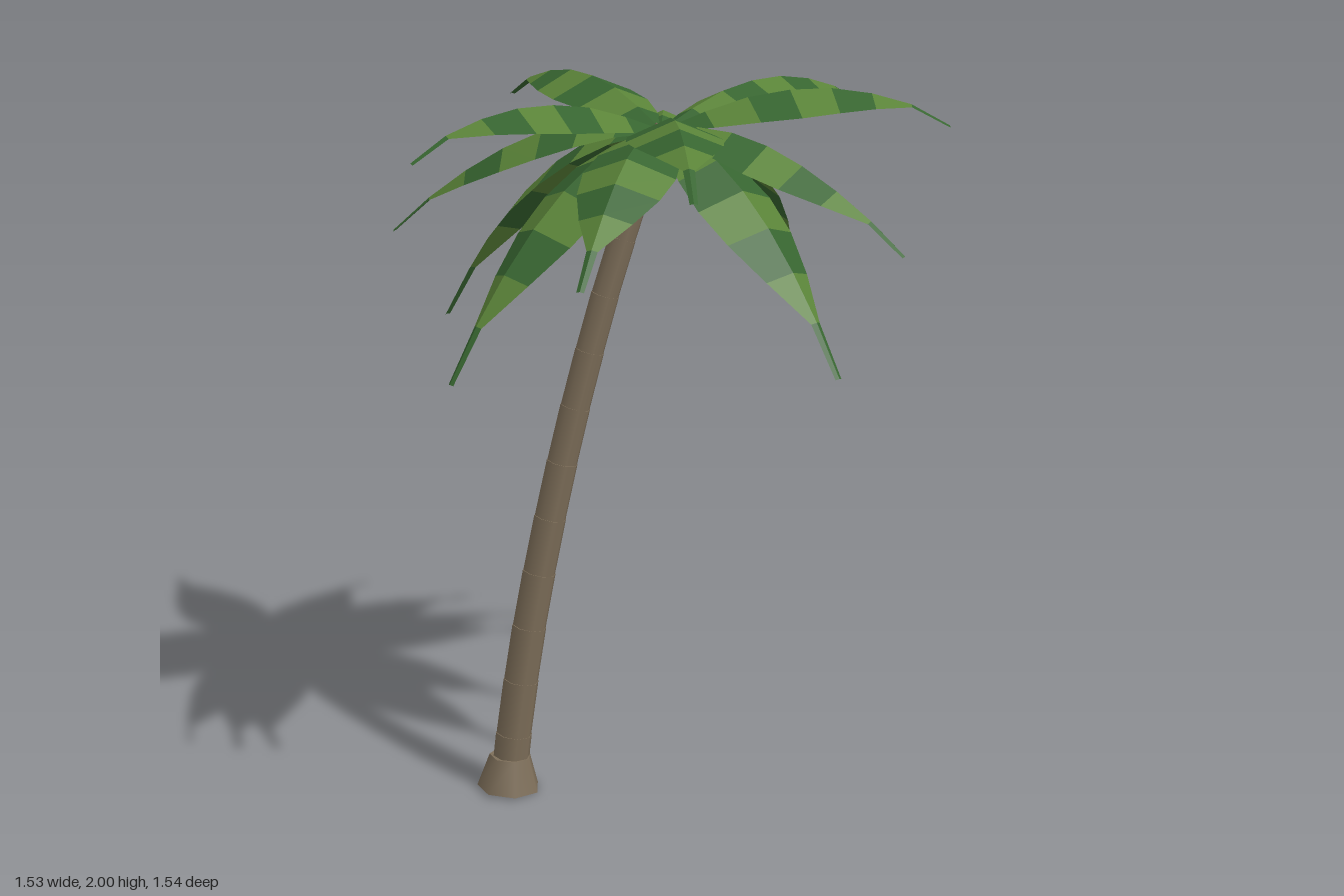
import * as THREE from 'three';

const paint = (name, color, options = {}) => {
  const m = new THREE.MeshStandardMaterial({ color, ...options });
  m.name = name;
  return m;
};

const CROWN = new THREE.Vector3(-0.05, 1.902, -0.025);
const STEPS = 7;
const HALF_WIDTHS = [0.012, 0.079, 0.122, 0.136, 0.12, 0.077, 0.016, 0.011];

// Midrib heights relative to the crown, from root to tip
const TIERS = {
  upper: [0, 0.045, 0.08, 0.096, 0.096, 0.077, 0.042, -0.022],
  middle: [0, 0.018, 0.01, -0.02, -0.07, -0.135, -0.213, -0.307],
  lower: [0, -0.01, -0.053, -0.123, -0.213, -0.323, -0.448, -0.592],
};

// Tier, tip x, tip y, tip z
const FRONDS = [
  ['upper', 0.765, 1.88, 0.01], ['upper', -0.165, 1.88, 0.77], ['upper', -0.765, 1.88, 0.135],
  ['upper', -0.32, 1.88, -0.765], ['upper', 0.62, 1.88, -0.35],
  ['middle', 0.15, 1.59, -0.765], ['middle', -0.735, 1.58, -0.39],
  ['middle', -0.41, 1.62, 0.565], ['middle', 0.505, 1.62, 0.415],
  ['lower', -0.55, 1.26, -0.635], ['lower', -0.70, 1.315, 0.28],
  ['lower', 0.272, 1.35, 0.595], ['lower', 0.51, 1.305, -0.515],
];

// A drooping leaf folded along its midrib, banded in two greens
function makeFrond([tier, x, y, z], materials) {
  const heights = TIERS[tier];
  const out = new THREE.Vector3(x - CROWN.x, 0, z - CROWN.z);
  const reach = out.length();
  out.normalize();
  const side = new THREE.Vector3(0, 1, 0).cross(out);
  const drop = (y - CROWN.y) / heights[STEPS];
  const bend = tier === 'lower' ? 0.15 : 0.04;
  const mid = heights.map((h, i) => {
    const t = i / STEPS;
    return CROWN.clone().addScaledVector(out, reach * t * (1 + bend - bend * t))
      .add(new THREE.Vector3(0, h * drop, 0));
  });
  const rows = mid.map((p, i) => {
    const tangent = mid[Math.min(i + 1, STEPS)].clone().sub(mid[Math.max(i - 1, 0)]).normalize();
    const up = tangent.cross(side);
    const w = HALF_WIDTHS[i];
    const edge = (s) => p.clone().addScaledVector(side, s * w * 0.95).addScaledVector(up, -0.4 * w);
    return [edge(-1), p, edge(1)];
  });
  const points = [];
  const geometry = new THREE.BufferGeometry();
  for (let i = 0; i < STEPS; i++) {
    geometry.addGroup(i * 12, 12, i % 2);
    for (let j = 0; j < 2; j++) {
      const a = rows[i][j], b = rows[i][j + 1], c = rows[i + 1][j + 1], d = rows[i + 1][j];
      points.push(a, d, b, b, d, c);
    }
  }
  geometry.setFromPoints(points);
  geometry.computeVertexNormals();
  const mesh = new THREE.Mesh(geometry, materials);
  mesh.name = tier + 'Frond';
  return mesh;
}

// Tapered cylinder between two points
function makeSegment(name, a, b, r0, r1, sides, material) {
  const dir = b.clone().sub(a);
  const mesh = new THREE.Mesh(new THREE.CylinderGeometry(r1, r0, dir.length(), sides), material);
  mesh.position.copy(a).lerp(b, 0.5);
  mesh.quaternion.setFromUnitVectors(new THREE.Vector3(0, 1, 0), dir.normalize());
  mesh.name = name;
  return mesh;
}

export function createModel() {
  const bark = paint('bark', 0x7d6e59);
  const leaf = { flatShading: true, side: THREE.DoubleSide };
  const darkGreen = paint('dark leaf green', 0x376530, leaf);
  const lightGreen = paint('light leaf green', 0x5a8338, leaf);
  const gold = paint('ripe fruit gold', 0xc9a02c);
  const model = new THREE.Group();
  model.name = 'palmTree';

  // Leaning trunk in ringed segments, its tip just showing through the crown
  const trunk = new THREE.Group();
  trunk.name = 'trunk';
  const path = new THREE.CatmullRomCurve3([
    [-0.505, 0.007, -0.039], [-0.495, 0.1, -0.039], [-0.435, 0.5, -0.036], [-0.33, 1, -0.032],
    [-0.225, 1.4, -0.028], [-0.163, 1.6, -0.026], [-0.095, 1.8, -0.024], [-0.05, 1.915, -0.025],
  ].map((p) => new THREE.Vector3(...p)));
  const rings = 12;
  const radius = (t) => 0.053 - 0.018 * t;
  for (let i = 0; i < rings; i++) {
    const t0 = i / rings, t1 = (i + 1) / rings;
    const r1 = i === rings - 1 ? 0.018 : radius(t1) * 1.02;
    trunk.add(makeSegment('trunkSegment', path.getPointAt(t0), path.getPointAt(t1),
      radius(t0) * 0.99, r1, 8, bark));
  }
  // Flared foot
  trunk.add(makeSegment('trunkFoot', new THREE.Vector3(-0.503, 0.006, -0.039),
    new THREE.Vector3(-0.497, 0.103, -0.039), 0.091, 0.06, 7, bark));
  model.add(trunk);

  // Crown of fronds
  const crown = new THREE.Group();
  crown.name = 'crown';
  FRONDS.forEach((f) => crown.add(makeFrond(f, [darkGreen, lightGreen])));
  model.add(crown);

  // Fruit cluster around the trunk top: gold towards the front, green behind
  const fruits = new THREE.Group();
  fruits.name = 'fruitCluster';
  [
    ['ripeFruit', gold, -0.103, 1.797, 0.012], ['ripeFruit', gold, -0.05, 1.818, 0.002],
    ['greenFruit', darkGreen, -0.07, 1.815, 0.022], ['greenFruit', darkGreen, -0.048, 1.805, -0.038],
    ['greenFruit', darkGreen, -0.09, 1.805, -0.062],
  ].forEach(([name, material, x, y, z]) => {
    const fruit = new THREE.Mesh(new THREE.SphereGeometry(0.023, 8, 6), material);
    fruit.position.set(x, y, z);
    fruit.name = name;
    fruits.add(fruit);
  });
  model.add(fruits);
  return model;
}
